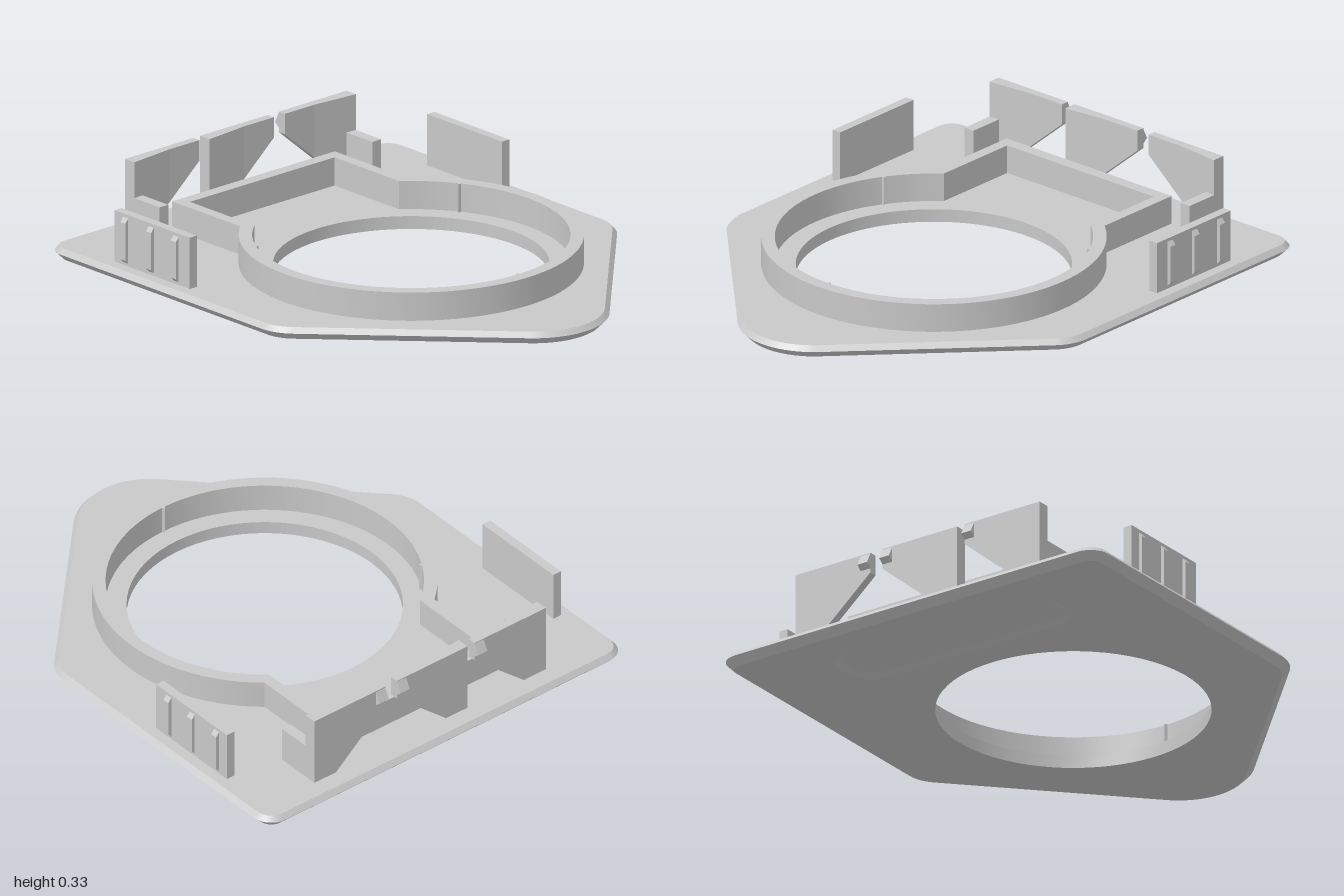
import * as THREE from 'three';
import { toCreasedNormals } from 'three/addons/utils/BufferGeometryUtils.js';

const grey = new THREE.MeshStandardMaterial({ color: 0xc8c8c8 });
grey.name = 'plain light grey';
const RIM_Z = 0.055; // centre of the round opening

// Arc points [x, z] in n steps, angles in degrees from +x towards +z
function arc(cx, cz, r, from, to, n) {
  const pts = [];
  for (let i = 0; i <= n; i++) {
    const a = THREE.MathUtils.degToRad(from + ((to - from) * i) / n);
    pts.push([cx + r * Math.cos(a), cz + r * Math.sin(a)]);
  }
  return pts;
}

// Pointed plate outline, pulled in by a given inset
const plateOutline = (inset) => [
  ...arc(0, 0.72, 0.28 - inset, 45, 135, 20),
  ...arc(-0.685, 0.175, 0.17 - inset, 135, 180, 8),
  ...arc(-0.775, -0.92, 0.08 - inset, 180, 270, 8),
  ...arc(0.775, -0.92, 0.08 - inset, 270, 360, 8),
  ...arc(0.685, 0.175, 0.17 - inset, 0, 45, 8),
];

// Rounded outline of the recess in the underside
const recessOutline = (inset) => {
  const r = 0.1 - inset;
  return [
    ...arc(0.395, -0.67, r, 0, 90, 8), ...arc(-0.395, -0.67, r, 90, 180, 8),
    ...arc(-0.395, -0.73, r, 180, 270, 8), ...arc(0.395, -0.73, r, 270, 360, 8),
  ];
};

// Keyhole outline: a circle joined to a box at the back
function collarOutline(r, halfWidth, backZ) {
  const a = THREE.MathUtils.radToDeg(Math.acos(halfWidth / r));
  return [...arc(0, RIM_Z, r, -a, 180 + a, 72), [-halfWidth, backZ], [halfWidth, backZ]];
}

const circle = (r) => arc(0, RIM_Z, r, 0, 360, 72).slice(0, -1);

// Holes run the opposite way round to the outline
function makeShape(loop, holes, sign = -1) {
  const toVec = (pts) => pts.map(([x, z]) => new THREE.Vector2(x, sign * z));
  const shape = new THREE.Shape(toVec(loop));
  for (const h of holes) shape.holes.push(new THREE.Path(toVec(h).reverse()));
  return shape;
}

// Flat face at height y, facing up or down
function cap(loop, holes, y, up) {
  const g = new THREE.ShapeGeometry(makeShape(loop, holes, up ? -1 : 1));
  return g.rotateX(up ? -Math.PI / 2 : Math.PI / 2).translate(0, y, 0);
}

// Band of quads joining matching outlines: [outline, y], ...
function loft(...rings) {
  const pos = [];
  for (let k = 0; k + 1 < rings.length; k++) {
    const [a, ya] = rings[k], [b, yb] = rings[k + 1];
    for (let i = 0; i < a.length; i++) {
      const j = (i + 1) % a.length;
      const A = [a[i][0], ya, a[i][1]], A2 = [a[j][0], ya, a[j][1]];
      const B = [b[i][0], yb, b[i][1]], B2 = [b[j][0], yb, b[j][1]];
      pos.push(...A, ...B, ...A2, ...B, ...B2, ...A2);
    }
  }
  const g = new THREE.BufferGeometry();
  g.setAttribute('position', new THREE.Float32BufferAttribute(pos, 3));
  return toCreasedNormals(g, 0.45);
}

// Upright prism from a plan outline [x, z]
function prism(loop, holes, y0, y1) {
  const g = new THREE.ExtrudeGeometry(makeShape(loop, holes), { depth: y1 - y0, bevelEnabled: false });
  return toCreasedNormals(g.rotateX(-Math.PI / 2).translate(0, y0, 0), 0.45);
}

// Prism from a front profile [x, y], running from z0 to z1
function slab(profile, z0, z1) {
  const shape = new THREE.Shape(profile.map(([x, y]) => new THREE.Vector2(x, y)));
  return new THREE.ExtrudeGeometry(shape, { depth: z1 - z0, bevelEnabled: false }).translate(0, 0, z0);
}

// Wedge that thickens a rear clip towards its post edge
function clipWedge(a, s) {
  const x = a + s * 0.19;
  const g = slab([[a, 0.05], [a + s * 0.1, 0.05], [x, 0.127], [x, 0.33], [a, 0.33]], -0.89, -0.88);
  const p = g.attributes.position;
  for (let i = 0; i < p.count; i++) {
    if (p.getZ(i) > -0.885) p.setZ(i, -0.88 + 0.018 * (1 - Math.abs(p.getX(i) - a) / 0.19));
  }
  g.computeVertexNormals();
  return g;
}

function box(x0, x1, y0, y1, z0, z1) {
  return new THREE.BoxGeometry(x1 - x0, y1 - y0, z1 - z0)
    .translate((x0 + x1) / 2, (y0 + y1) / 2, (z0 + z1) / 2);
}

export function createModel() {
  const model = new THREE.Group();
  model.name = 'mountingPlate';
  const group = (name) => {
    const g = new THREE.Group();
    g.name = name;
    model.add(g);
    return g;
  };
  const add = (parent, name, geometry) => {
    const m = new THREE.Mesh(geometry, grey);
    m.name = name;
    parent.add(m);
  };

  // Base plate with bevelled rim, round opening and shallow underside recess
  const base = group('basePlate');
  const hole = circle(0.508);
  add(base, 'plateTop', cap(plateOutline(0.017), [hole], 0.05, true));
  add(base, 'plateBottom', cap(plateOutline(0.03), [hole, recessOutline(0)], 0, false));
  add(base, 'plateRim', loft([plateOutline(0.03), 0], [plateOutline(0), 0.03], [plateOutline(0.017), 0.05]));
  add(base, 'openingWall', loft([hole, 0.05], [hole, 0]));
  add(base, 'recessWall', loft([recessOutline(0.03), 0.014], [recessOutline(0), 0]));
  add(base, 'recessFloor', cap(recessOutline(0.03), [], 0.014, false));

  // Raised keyhole collar with three tiny ribs inside
  const collar = group('collar');
  add(collar, 'collarWall',
    prism(collarOutline(0.635, 0.405, -0.805), [collarOutline(0.585, 0.36, -0.757)], 0.05, 0.16));
  for (const deg of [90, 210, 330]) {
    const [start, end] = arc(0, RIM_Z, 0.588, deg - 0.8, deg + 0.8, 1);
    const [tip] = arc(0, RIM_Z, 0.574, deg, 360, 1);
    add(collar, 'collarRib', prism([start, end, tip], [], 0.05, 0.16));
  }

  // Rear clips: post edge at x = a, free edge at x = b
  const clips = [
    { name: 'rightRearClip', a: -0.54, b: -0.2, arm: true },
    { name: 'middleRearClip', a: -0.167, b: 0.17, arm: false },
    { name: 'leftRearClip', a: 0.563, b: 0.225, arm: true },
  ];
  for (const { name, a, b, arm } of clips) {
    const clip = group(name);
    const s = Math.sign(b - a);
    add(clip, 'clipPlate',
      slab([[a, 0.05], [b - s * 0.235, 0.05], [b, 0.25], [b, 0.33], [a, 0.33]], -0.913, -0.88));
    add(clip, 'clipWedge', clipWedge(a, s));
    // Snap hook behind the free edge
    const hook = slab([[0.911, 0.33], [0.934, 0.285], [0.911, 0.265]], 0, 0.044);
    hook.rotateY(Math.PI / 2).translate(Math.min(b, b - s * 0.044), 0, 0);
    add(clip, 'clipHook', hook);
    if (arm) {
      const e = a + s * 0.043;
      add(clip, 'clipArm', box(Math.min(a, e), Math.max(a, e), 0.05, 0.19, -0.9, -0.725));
    }
  }

  // Side clips with three grip ribs each
  for (const s of [1, -1]) {
    const side = group(s > 0 ? 'leftSideClip' : 'rightSideClip');
    const x = s > 0 ? 0.76 : -0.796;
    add(side, 'sidePlate', box(x, x + 0.036, 0.05, 0.25, -0.69, -0.282));
    for (const z of [-0.355, -0.49, -0.63]) {
      const profile = [[0.79, 0.245], [0.81, 0.22], [0.81, 0.075], [0.79, 0.055]];
      add(side, 'gripRib', slab(profile.map(([px, py]) => [s * px, py]), z - 0.014, z + 0.014));
    }
  }
  return model;
}
